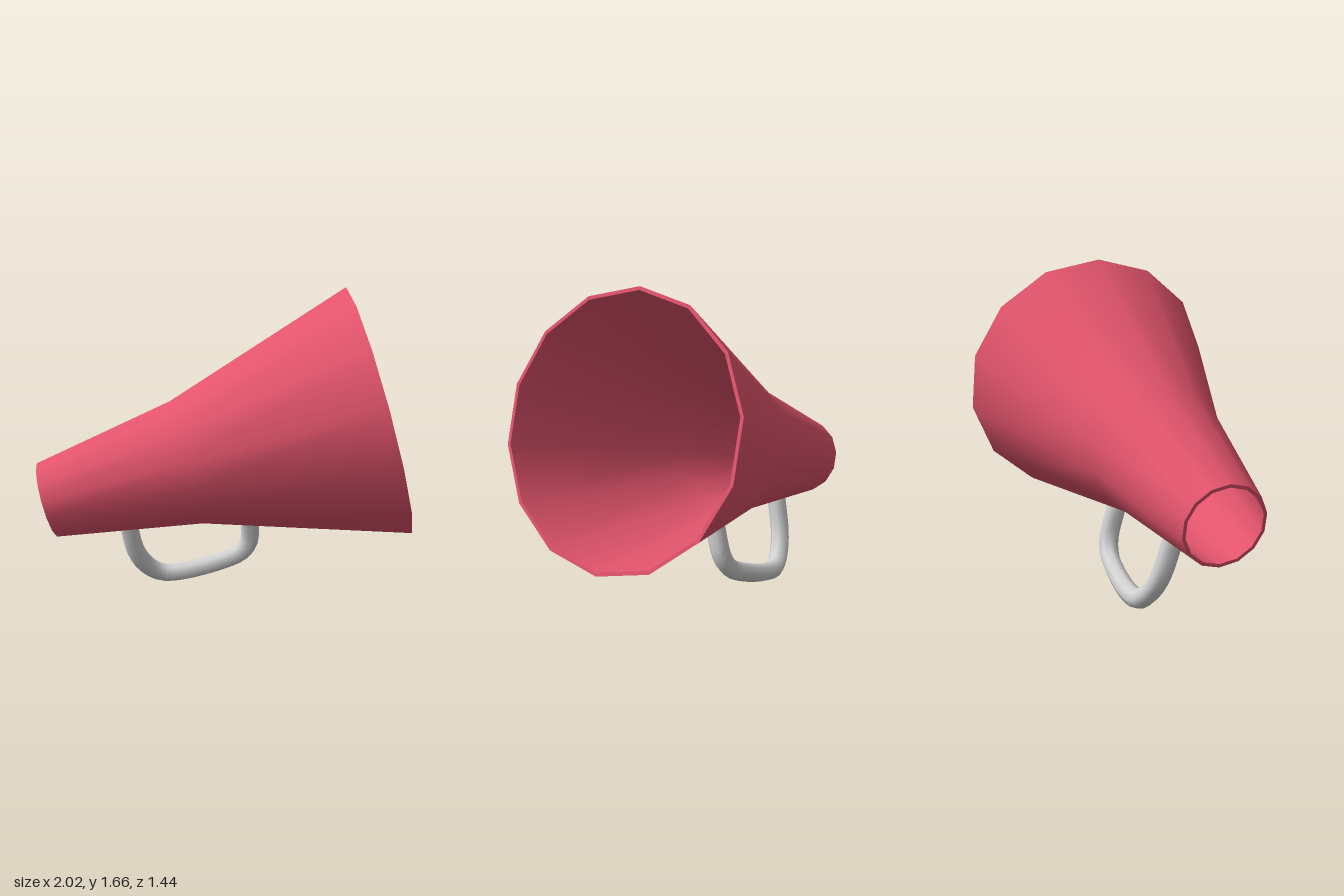
import * as THREE from 'three';

export function createModel() {
  const model = new THREE.Group();
  const red = new THREE.MeshStandardMaterial({ color: 0xe2546c });
  red.name = 'coralRed';
  const grey = new THREE.MeshStandardMaterial({ color: 0xd2d2d2 });
  grey.name = 'lightGrey';

  // The horn's axis runs from the mouthpiece to the flared mouth
  const start = new THREE.Vector3(-0.925, 0.53, -0.525);
  const end = new THREE.Vector3(0.715, 1.0, 0.09);
  const length = start.distanceTo(end);
  const axis = end.clone().sub(start).normalize();
  const up = new THREE.Vector3(0, 1, 0).addScaledVector(axis, -axis.y).normalize();
  const side = new THREE.Vector3().crossVectors(axis, up);

  const horn = new THREE.Group();
  horn.name = 'horn';
  horn.applyMatrix4(new THREE.Matrix4().makeBasis(side, axis, up).setPosition(start));
  model.add(horn);

  // Each wall is a separate 14-sided lathe so that the rims stay sharp
  const kink = 0.424 * length;
  const outer = [[0.207, 0], [0.342, kink], [0.678, length]];
  const inner = [[0.66, length], [0.324, kink], [0.19, 0]];
  const walls = {
    hornOuterWall: outer,
    mouthRim: [outer[2], inner[0]],
    hornInnerWall: inner,
    mouthpieceRim: [inner[2], outer[0]],
  };
  for (const [name, profile] of Object.entries(walls)) {
    const points = profile.map(([r, y]) => new THREE.Vector2(r, y));
    const wall = new THREE.Mesh(new THREE.LatheGeometry(points, 14), red);
    wall.name = name;
    horn.add(wall);
  }

  // Bent tube handle below the horn
  const path = new THREE.CatmullRomCurve3([
    [-0.515, 0.4, -0.435], [-0.46, 0.2, -0.47], [-0.395, 0.105, -0.478],
    [-0.31, 0.052, -0.475], [-0.21, 0.052, -0.445], [0.015, 0.12, -0.35],
    [0.1, 0.17, -0.305], [0.135, 0.24, -0.275], [0.12, 0.4, -0.235],
  ].map((p) => new THREE.Vector3(...p)), false, 'centripetal');
  const handle = new THREE.Mesh(new THREE.TubeGeometry(path, 28, 0.05, 8), grey);
  handle.name = 'handle';
  model.add(handle);

  return model;
}
